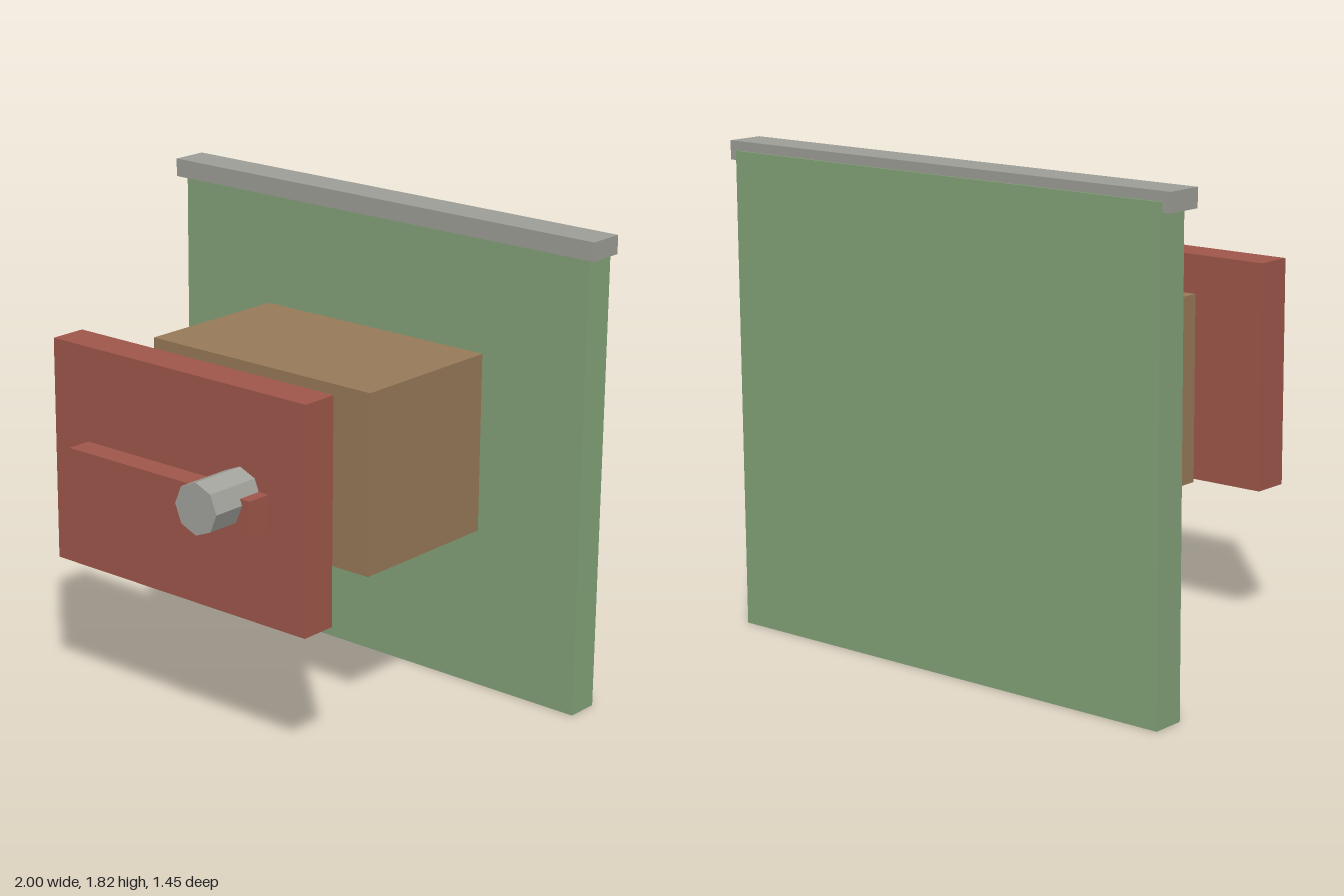
import * as THREE from 'three';

// Box given by its [min, max] extents on each axis
function slab(name, color, [x0, x1], [y0, y1], [z0, z1]) {
  const mesh = new THREE.Mesh(
    new THREE.BoxGeometry(x1 - x0, y1 - y0, z1 - z0),
    new THREE.MeshStandardMaterial({ color, flatShading: true })
  );
  mesh.position.set((x0 + x1) / 2, (y0 + y1) / 2, (z0 + z1) / 2);
  mesh.name = name;
  return mesh;
}

export function createModel() {
  const model = new THREE.Group();
  model.name = 'wallMountedBox';

  // Wall with its coping, and the box hung in front of it
  model.add(
    slab('wall', 0x84a378, [-0.965, 0.965], [0, 1.78], [-0.725, -0.597]),
    slab('wallCap', 0x9e9e98, [-1, 1], [1.745, 1.815], [-0.717, -0.572]),
    slab('boxBody', 0x987a5a, [-0.522, 0.522], [0.628, 1.315], [-0.577, 0.065]),
    slab('bottomBlock', 0xb5b0a5, [-0.385, -0.025], [0.445, 0.63], [-0.515, -0.37])
  );

  // Separate front door with a raised bar
  model.add(
    slab('door', 0xa0574b, [-0.603, 0.603], [0.547, 1.394], [0.358, 0.502]),
    slab('doorBar', 0xa0574b, [-0.437, 0.435], [0.905, 1.035], [0.502, 0.598])
  );

  // Eight-sided pin passing through the door
  const pin = new THREE.Mesh(
    new THREE.CylinderGeometry(0.096, 0.096, 0.485, 8),
    new THREE.MeshStandardMaterial({ color: 0xa3a39d, flatShading: true })
  );
  pin.rotation.x = Math.PI / 2;
  pin.position.set(0.305, 1.012, 0.485);
  pin.name = 'lockPin';
  model.add(pin);

  return model;
}
